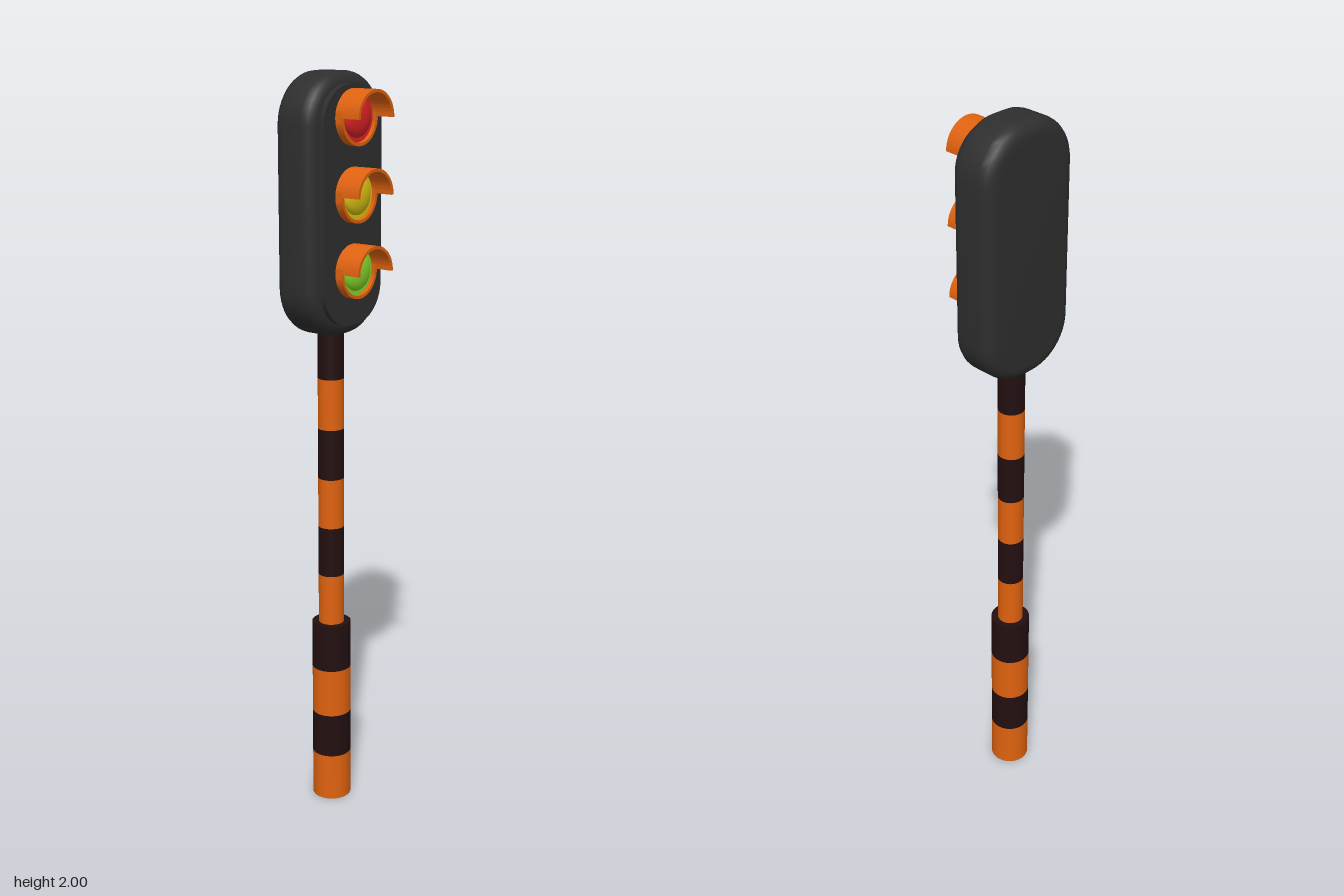
import * as THREE from 'three';
import { toCreasedNormals } from 'three/addons/utils/BufferGeometryUtils.js';

const material = (name, color) => {
  const m = new THREE.MeshStandardMaterial({ color });
  m.name = name;
  return m;
};

// Rounded rectangle centred on the origin
function roundedRect(w, h, r) {
  const s = new THREE.Shape();
  const x = w / 2 - r, y = h / 2 - r;
  s.absarc(x, y, r, 0, Math.PI / 2);
  s.absarc(-x, y, r, Math.PI / 2, Math.PI);
  s.absarc(-x, -y, r, Math.PI, Math.PI * 1.5);
  s.absarc(x, -y, r, Math.PI * 1.5, Math.PI * 2);
  s.closePath();
  return s;
}

export function createModel() {
  const orange = material('orange paint', 0xdf620f);
  const black = material('brown black paint', 0x230f10);
  const charcoal = material('charcoal housing', 0x2e2e2e);
  const red = material('red lens', 0xdb2226);
  const yellow = material('yellow lens', 0xd9c212);
  const green = material('green lens', 0x86d62a);

  const model = new THREE.Group();
  model.name = 'trafficLight';
  const axisZ = -0.043;

  const add = (parent, name, geometry, mat, x = 0, y = 0, z = 0) => {
    const mesh = new THREE.Mesh(geometry, mat);
    mesh.name = name;
    mesh.position.set(x, y, z);
    parent.add(mesh);
    return mesh;
  };

  // Striped post: bands alternate orange and black from the bottom up
  const bands = (name, radius, levels) => {
    const group = new THREE.Group();
    group.name = name;
    for (let i = 0; i < levels.length - 1; i++) {
      const h = levels[i + 1] - levels[i];
      const side = i % 2 ? black : orange;
      add(group, name + 'Band', new THREE.CylinderGeometry(radius, radius, h, 32),
        [side, black, black], 0, levels[i] + h / 2, axisZ);
    }
    model.add(group);
  };
  bands('base', 0.053, [0, 0.133, 0.257, 0.392, 0.525]);
  bands('pole', 0.035, [0.525, 0.665, 0.803, 0.94, 1.078, 1.215, 1.37]);

  // Housing with rounded edges front and back
  const bevel = 0.034, width = 0.292, height = 0.664, headY = 1.668;
  const housing = new THREE.ExtrudeGeometry(
    roundedRect(width - 2 * bevel, height - 2 * bevel, 0.095), {
      depth: 0.126 - 2 * bevel, bevelThickness: bevel, bevelSize: bevel,
      bevelSegments: 5, curveSegments: 6,
    });
  add(model, 'housing', toCreasedNormals(housing, 0.7), charcoal, 0, headY, -0.108 + bevel);

  // Raised front plate
  const plate = new THREE.ExtrudeGeometry(roundedRect(0.226, 0.604, 0.1), {
    depth: 0.022, bevelEnabled: false, curveSegments: 8,
  });
  add(model, 'frontPlate', toCreasedNormals(plate, 0.7), charcoal, 0, headY, 0.01);

  // Lamp parts: full collar, half-round hood, lens disc and dome
  const outer = 0.07, inner = 0.062;
  const ring = new THREE.Shape().absarc(0, 0, outer, 0, Math.PI * 2);
  ring.holes.push(new THREE.Path().absarc(0, 0, inner, 0, Math.PI * 2, true));
  const half = new THREE.Shape().absarc(0, 0, outer, 0, Math.PI);
  half.absarc(0, 0, inner, Math.PI, 0, true);
  half.closePath();
  const extrude = (shape, depth) => toCreasedNormals(
    new THREE.ExtrudeGeometry(shape, { depth, bevelEnabled: false, curveSegments: 24 }), 0.7);
  const collarGeo = extrude(ring, 0.023);
  const hoodGeo = extrude(half, 0.052);
  const discGeo = new THREE.CylinderGeometry(0.063, 0.063, 0.012, 32).rotateX(Math.PI / 2);
  const domeGeo = new THREE.SphereGeometry(0.05, 32, 8, 0, Math.PI * 2, 0, Math.PI / 2)
    .rotateX(Math.PI / 2).scale(1, 1, 0.4);

  [['red', red, 1.889], ['yellow', yellow, 1.698], ['green', green, 1.506]]
    .forEach(([name, lens, y]) => {
      const lamp = new THREE.Group();
      lamp.name = name + 'Lamp';
      lamp.position.y = y;
      add(lamp, 'collar', collarGeo, orange, 0, 0, 0.031);
      add(lamp, 'hood', hoodGeo, orange, 0, 0, 0.054);
      add(lamp, 'lensDisc', discGeo, lens, 0, 0, 0.037);
      add(lamp, 'lensDome', domeGeo, lens, 0, 0, 0.043);
      model.add(lamp);
    });

  return model;
}
